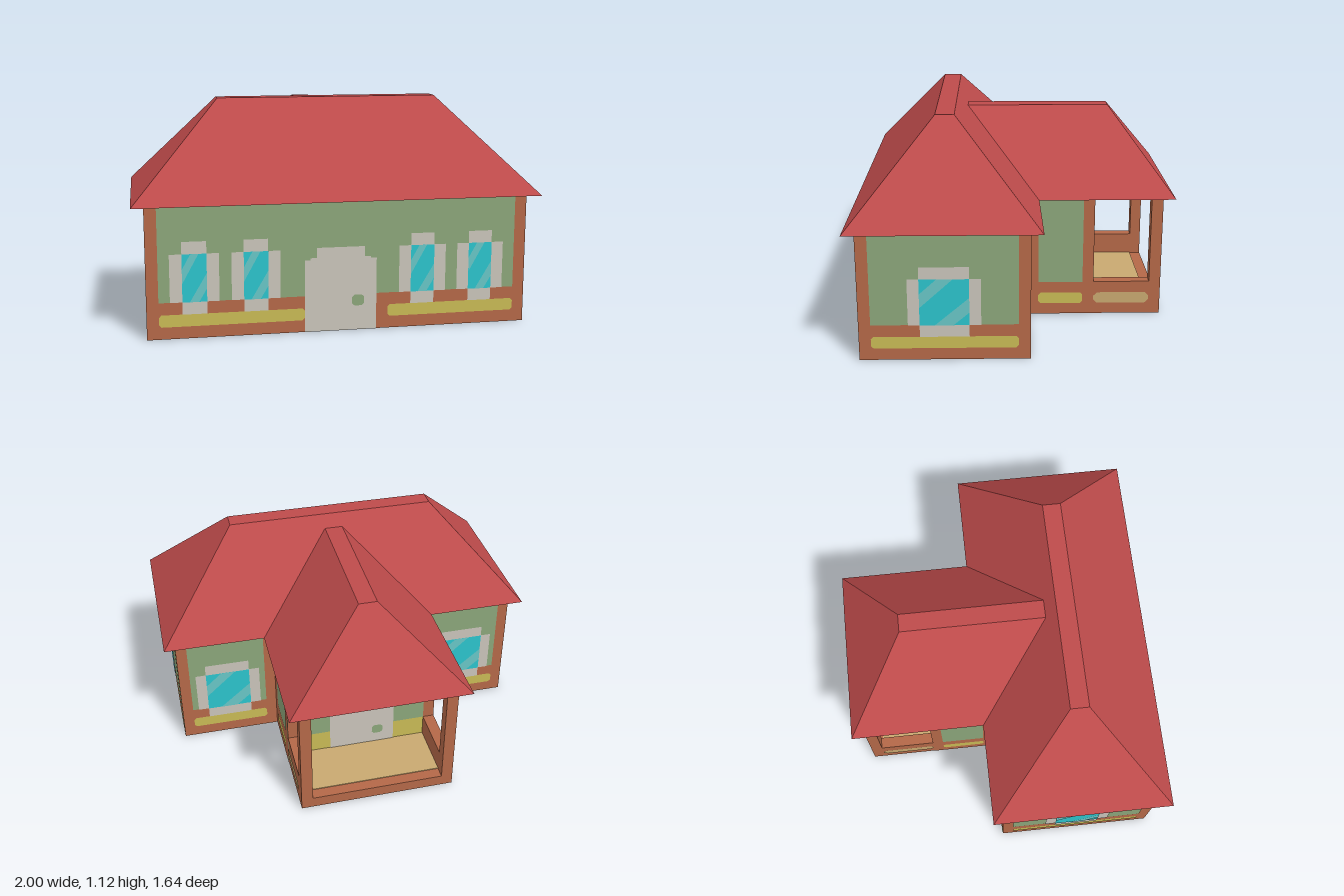
import * as THREE from 'three';
import { ConvexGeometry } from 'three/addons/geometries/ConvexGeometry.js';

const mat = (name, color) => new THREE.MeshStandardMaterial({ name, color });

export function createModel() {
  const house = new THREE.Group();
  house.name = 'house';

  const green = mat('wall green', 0x8ba67a);
  const brown = mat('timber brown', 0xb46848);
  const red = mat('roof red', 0xbe4b4b);
  const yellow = mat('strip yellow', 0xc8ba55);
  const tan = mat('porch tan', 0xc8a870);
  const stone = mat('frame stone', 0xc9c4ba);
  const cyan = mat('glass cyan', 0x2cc3cc);
  const pale = mat('glass pale', 0x68c6c6);

  const EAVE = 0.65, BAND = 0.18, POST = 0.058;

  // Box given by its extents
  function box(name, material, x0, x1, y0, y1, z0, z1) {
    const mesh = new THREE.Mesh(new THREE.BoxGeometry(x1 - x0, y1 - y0, z1 - z0), material);
    mesh.position.set((x0 + x1) / 2, (y0 + y1) / 2, (z0 + z1) / 2);
    mesh.name = name;
    house.add(mesh);
    return mesh;
  }

  // Flat painted face on a wall; layer sets how far it stands off
  function plate(wall, name, material, layer, points) {
    const shape = new THREE.Shape(points.map(([x, y]) => new THREE.Vector2(x, y)));
    const mesh = new THREE.Mesh(new THREE.ShapeGeometry(shape), material);
    mesh.position.z = layer * 0.0018;
    mesh.name = name;
    wall.add(mesh);
  }
  const rect = (x0, x1, y0, y1) => [[x0, y0], [x1, y0], [x1, y1], [x0, y1]];
  const chamfered = (x0, x1, y0, y1, c = 0.012) => [
    [x0 + c, y0], [x1 - c, y0], [x1, y0 + c], [x1, y1 - c],
    [x1 - c, y1], [x0 + c, y1], [x0, y1 - c], [x0, y0 + c]];

  // Window: cross-shaped frame, square pane, two slanted reflections
  function addWindow(wall, x, outer, inner) {
    const [a, b] = [outer, inner];
    const at = pts => pts.map(([px, py]) => [x + px, py]);
    plate(wall, 'windowFrame', stone, 3, at([
      [-b, 0.12], [b, 0.12], [b, 0.18], [a, 0.18], [a, 0.415], [b, 0.415],
      [b, 0.475], [-b, 0.475], [-b, 0.415], [-a, 0.415], [-a, 0.18], [-b, 0.18]]));
    plate(wall, 'windowGlass', cyan, 4, at(rect(-b, b, 0.18, 0.415)));
    plate(wall, 'upperReflection', pale, 5, at([
      [-b, 0.27], [0.35 * b, 0.415], [-0.3 * b, 0.415], [-b, 0.34]]));
    plate(wall, 'lowerReflection', pale, 5, at([
      [-0.4 * b, 0.18], [0.35 * b, 0.18], [b, 0.245], [b, 0.32]]));
  }

  // Door with stepped top and a knob
  function addDoor(wall, y0) {
    plate(wall, 'door', stone, 3, [
      [-0.178, y0], [0.178, y0], [0.178, 0.36], [0.15, 0.36], [0.15, 0.37],
      [0.118, 0.37], [0.118, 0.42], [-0.118, 0.42], [-0.118, 0.37],
      [-0.15, 0.37], [-0.15, 0.36], [-0.178, 0.36]]);
    plate(wall, 'doorKnob', green, 4, chamfered(0.056, 0.116, 0.123, 0.178));
  }

  // Wall face with timber corners, a base band and coloured strips
  function addWall(name, x, z, turn, width, strips) {
    const wall = new THREE.Group();
    wall.name = name;
    wall.position.set(x, 0, z);
    wall.rotation.y = turn;
    house.add(wall);
    const h = width / 2;
    plate(wall, 'timberTrim', brown, 1, [
      [-h, 0], [h, 0], [h, EAVE], [h - POST, EAVE], [h - POST, BAND],
      [POST - h, BAND], [POST - h, EAVE], [-h, EAVE]]);
    for (const [s0, s1] of strips || [[POST - h, h - POST]])
      plate(wall, 'yellowStrip', yellow, 2, chamfered(s0, s1, 0.06, 0.12));
    return wall;
  }

  // Solid rooms
  box('mainRoom', green, -0.94, 0.94, 0, EAVE, -0.06, 0.765);
  box('wingRoom', green, -0.41, 0.41, 0, EAVE, -0.41, -0.06);

  // Front wall
  const front = addWall('frontWall', 0, 0.765, 0, 1.88, [[-0.882, -0.178], [0.235, 0.882]]);
  for (const x of [-0.71, -0.415, 0.41, 0.705]) addWindow(front, x, 0.118, 0.059);
  addDoor(front, 0);

  // Side, back and wing walls, mirrored
  for (const s of [-1, 1]) {
    addWindow(addWall('sideWall', s * 0.94, 0.3525, s * Math.PI / 2, 0.825), 0, 0.175, 0.119);
    addWindow(addWall('backWall', s * 0.675, -0.06, Math.PI, 0.53), 0, 0.175, 0.119);
    addWall('wingWall', s * 0.41, -0.235, s * Math.PI / 2, 0.35);
  }

  // Porch wall with its door
  const porchWall = new THREE.Group();
  porchWall.name = 'porchWall';
  porchWall.position.z = -0.41;
  porchWall.rotation.y = Math.PI;
  house.add(porchWall);
  plate(porchWall, 'yellowBase', yellow, 1, rect(-0.35, 0.35, 0.06, BAND));
  for (const s of [-1, 1])
    plate(porchWall, 'wallPost', brown, 1, rect(s * 0.38 - 0.03, s * 0.38 + 0.03, 0.06, EAVE));
  addDoor(porchWall, 0.06);

  // Porch floor: timber edge, green underside, tan boards on top
  box('porchBase', [brown, brown, brown, green, brown, brown], -0.41, 0.41, 0, 0.06, -0.765, -0.41);
  box('porchFloor', tan, -0.352, 0.352, 0.058, 0.064, -0.705, -0.41);

  // Porch railings and corner posts
  for (const s of [-1, 1]) {
    const x0 = s * 0.38 - 0.03, x1 = s * 0.38 + 0.03;
    box('porchRailing', brown, x0, x1, 0.06, BAND, -0.705, -0.41);
    box('porchPost', brown, x0, x1, 0.06, EAVE, -0.765, -0.705);
    const side = new THREE.Group();
    side.name = 'railingFace';
    side.position.set(s * 0.41, 0, -0.5575);
    side.rotation.y = s * Math.PI / 2;
    house.add(side);
    plate(side, 'tanStrip', tan, 2, chamfered(-0.147, 0.147, 0.06, 0.12, 0.02));
  }

  // Hipped roofs with narrow flat ridges
  function addRoof(name, eave, ridge, ridgeY) {
    const points = [];
    for (const [[x, z0, z1], y] of [[eave, EAVE], [ridge, ridgeY]])
      for (const s of [-1, 1])
        for (const z of [z0, z1]) points.push(new THREE.Vector3(s * x, y, z));
    const mesh = new THREE.Mesh(new ConvexGeometry(points), red);
    mesh.name = name;
    house.add(mesh);
  }
  addRoof('mainRoof', [1, -0.118, 0.82], [0.56, 0.305, 0.4], 1.12);
  addRoof('wingRoof', [0.468, -0.82, 0.25], [0.048, -0.5, 0.25], 1.06);

  return house;
}
